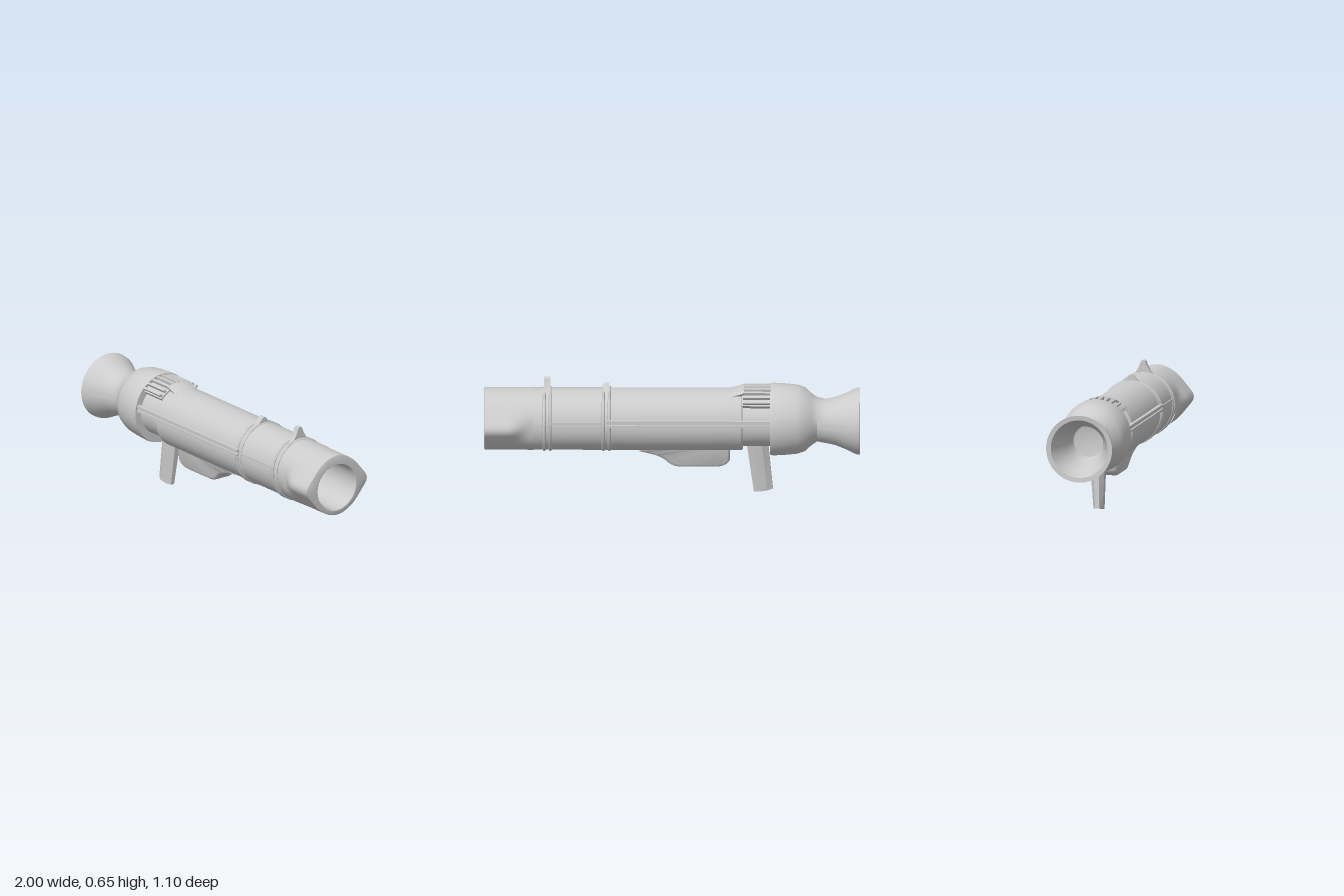
import * as THREE from 'three';
import { toCreasedNormals } from 'three/addons/utils/BufferGeometryUtils.js';

const AXIS_Y = 0.412;
const material = new THREE.MeshStandardMaterial({ color: 0xcccccc });

// Apply a rule to every vertex of a geometry
function bend(geometry, rule) {
  const p = geometry.attributes.position, v = new THREE.Vector3();
  for (let i = 0; i < p.count; i++) {
    rule(v.fromBufferAttribute(p, i));
    p.setXYZ(i, v.x, v.y, v.z);
  }
  return geometry;
}

// Turned part along x from [position, radius] pairs
function turned(pairs, segments = 48) {
  const points = pairs.map(([u, r]) => new THREE.Vector2(r, u));
  return new THREE.LatheGeometry(points, segments).rotateZ(-Math.PI / 2);
}

export function createModel() {
  const model = new THREE.Group();
  model.name = 'shoulderTube';
  const body = new THREE.Group();
  body.name = 'tubeAssembly';
  body.rotation.y = -0.383;
  body.position.set(-0.003, AXIS_Y, -0.008);
  model.add(body);

  const add = (name, geometry, crease = 0.6) => {
    const mesh = new THREE.Mesh(toCreasedNormals(geometry, crease), material);
    mesh.name = name;
    body.add(mesh);
    return mesh;
  };
  const box = (name, l, h, w, x, y, z) =>
    add(name, new THREE.BoxGeometry(l, h, w).translate(x, y, z));

  // Hollow exhaust bell swelling into the rear housing
  const rear = turned([
    [-0.74, 0], [-0.76, 0.085], [-0.84, 0.1], [-0.92, 0.125], [-1.0, 0.155], [-1.003, 0.18],
    [-0.985, 0.178], [-0.93, 0.152], [-0.87, 0.128], [-0.82, 0.118], [-0.775, 0.12], [-0.745, 0.14],
    [-0.71, 0.172], [-0.67, 0.186], [-0.61, 0.192], [-0.54, 0.196], [-0.525, 0.192], [-0.525, 0.13],
  ]);
  add('exhaustBell', bend(rear, (v) => {
    if (v.x < -0.8) v.y -= 0.01;
    else v.z *= 0.95;
  }));

  // Recessed neck between the rear housing and the tube
  add('neck', turned([[-0.54, 0.145], [-0.36, 0.145]]));

  // Ribbed cover over the top of the neck
  const arc = (r0, r1, half, length) => {
    const s = new THREE.Shape();
    s.absarc(0, 0, r1, Math.PI / 2 - half, Math.PI / 2 + half, false);
    s.absarc(0, 0, r0, Math.PI / 2 + half, Math.PI / 2 - half, true);
    return new THREE.ExtrudeGeometry(s, { depth: length, bevelEnabled: false, curveSegments: 10 })
      .rotateY(Math.PI / 2);
  };
  add('neckCover', arc(0.13, 0.172, 0.8, 0.16).translate(-0.535, 0, 0));
  for (let i = -4; i <= 4; i++) {
    const rib = new THREE.BoxGeometry(0.15, 0.03, 0.012).translate(-0.455, 0.174, 0).rotateX(i * 0.18);
    add('coverRib', rib);
  }

  // Main tube with a closed rear shoulder
  add('mainTube', bend(turned([
    [-0.38, 0.13], [-0.38, 0.16], [-0.37, 0.168], [0, 0.168], [0.4, 0.168], [0.76, 0.167],
  ]), (v) => { v.z *= 0.965; }));

  // Raised lip on the tube's rear top edge
  add('tubeLip', bend(arc(0.15, 0.188, 0.4, 0.07).translate(-0.385, 0, 0), (v) => {
    if (v.x > -0.33 && v.y > 0.145) v.y -= 0.022;
  }));

  // Muzzle: flares into side lugs, with an open bore
  const outer = [];
  for (let i = 0; i <= 12; i++) outer.push([0.74 + i * 0.0217, 0.168]);
  const muzzle = turned([...outer, [1.003, 0.162], [1.003, 0.13], [0.99, 0.123], [0.4, 0.115], [0.4, 0]], 64);
  add('muzzle', bend(muzzle, (v) => {
    const r = Math.hypot(v.y, v.z);
    if (r > 0.15) {
      const flare = THREE.MathUtils.smoothstep(v.x, 0.75, 0.87);
      const lug = Math.exp(-((v.y / r / 0.34) ** 2));
      const k = 1 + (0.21 * flare - 0.035 * (1 - flare)) * lug;
      v.y *= 1 - 0.03 * flare * Math.sin(2 * Math.atan2(v.y, Math.abs(v.z))) ** 2;
      v.z *= k;
    } else if (r > 0.01 && v.x > 0.9) v.y -= 0.012;
  }));

  // Two double bands, each carrying a pointed sight
  for (const [u, height] of [[0.35, 0.205], [0.665, 0.24]]) {
    for (const d of [-0.016, 0.016]) {
      const band = new THREE.TorusGeometry(0.166, 0.009, 8, 48).rotateY(Math.PI / 2).translate(u + d, 0, 0);
      add('band', band.scale(1, 1, 0.97), 2);
    }
    const s = new THREE.Shape();
    s.moveTo(-0.07, 0.145);
    s.lineTo(0.07, 0.145);
    s.quadraticCurveTo(0.03, 0.175, 0.012, height - 0.006);
    s.lineTo(0, height);
    s.lineTo(-0.012, height - 0.006);
    s.quadraticCurveTo(-0.03, 0.175, -0.07, 0.145);
    const sight = new THREE.ExtrudeGeometry(s, { depth: 0.034, bevelEnabled: false, curveSegments: 6 });
    add('sight', sight.rotateY(Math.PI / 2).translate(u - 0.017, 0, 0));
  }

  // Grooved rails along both sides, bridging the neck
  for (const side of [-1, 1]) {
    for (const y of [0.019, 0.044]) box('sideRail', 0.88, 0.012, 0.022, -0.09, y, side * 0.162);
    box('railBed', 0.88, 0.03, 0.014, -0.09, 0.031, side * 0.157);
    box('frontRail', 0.29, 0.012, 0.012, 0.505, 0.031, side * 0.158);
  }

  // Housing under the tube: flat belly sweeping up at the front
  const h = new THREE.Shape();
  h.moveTo(-0.295, -0.12);
  h.lineTo(-0.295, -0.215);
  h.quadraticCurveTo(-0.28, -0.242, -0.23, -0.242);
  h.lineTo(-0.04, -0.242);
  h.quadraticCurveTo(0.0, -0.238, 0.02, -0.212);
  h.quadraticCurveTo(0.05, -0.178, 0.16, -0.155);
  h.lineTo(0.16, -0.12);
  const housing = new THREE.ExtrudeGeometry(h, {
    depth: 0.08, bevelThickness: 0.018, bevelSize: 0.014, bevelSegments: 3, curveSegments: 8,
  }).translate(0, 0, -0.04);
  add('lowerHousing', bend(housing, (v) => { v.z *= 1 + 2.5 * Math.max(0, v.y + 0.24); }), 0.9);

  // Tapered pistol grip raked backwards
  const grip = new THREE.CylinderGeometry(0.5, 0.5, 1, 8, 4).rotateY(Math.PI / 8);
  add('grip', bend(grip, (v) => {
    const t = 0.5 - v.y;
    v.x = THREE.MathUtils.lerp(-0.455, -0.488, t) + v.x * (0.124 - 0.014 * t);
    v.z = v.z * (0.09 - 0.034 * t) - 0.012 * (1 - t);
    v.y = THREE.MathUtils.lerp(-0.12, -0.402, t) - (v.x + 0.488) * 0.16 * t;
  }), 0.5);

  return model;
}
